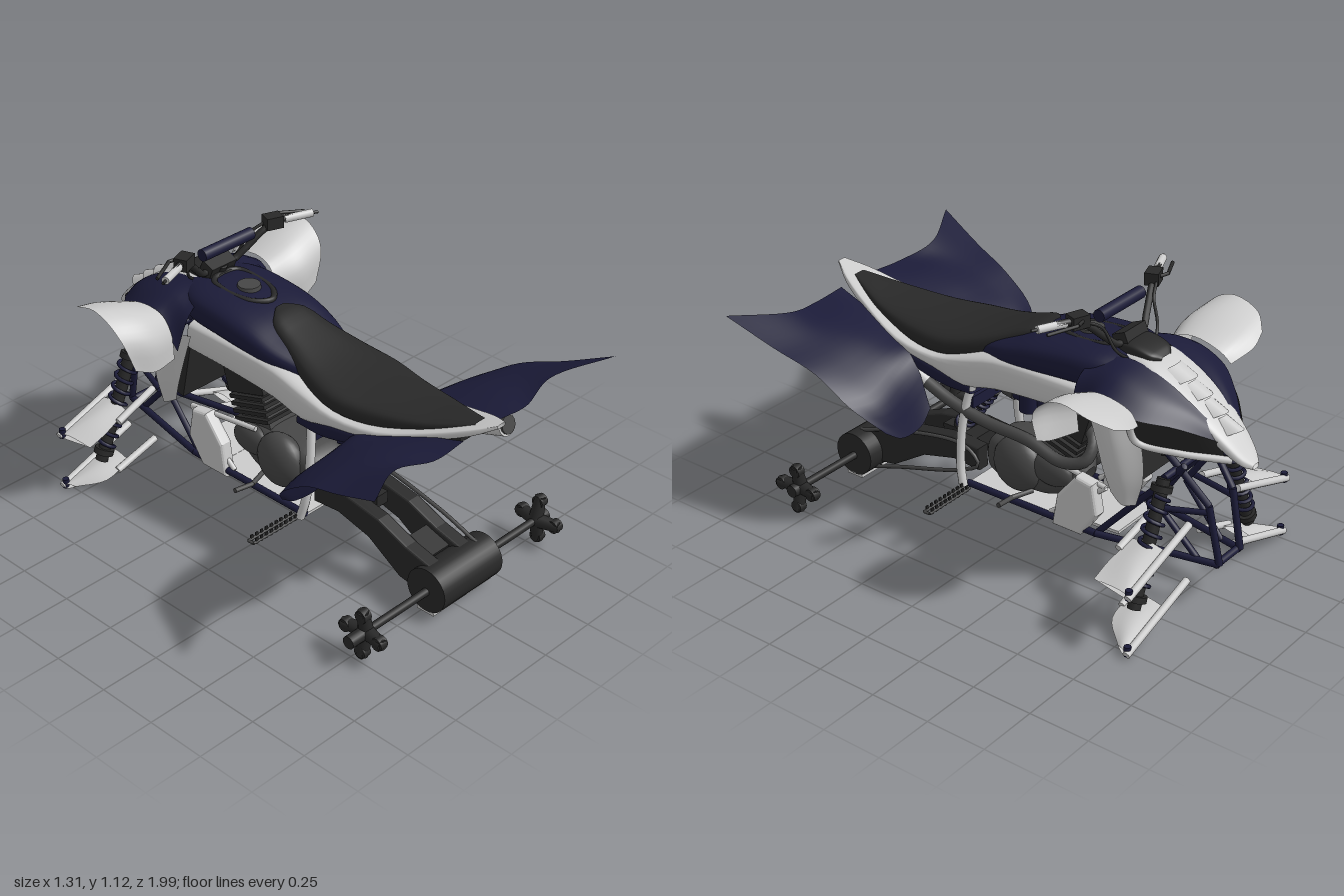
import * as THREE from 'three';

const WHITE = 0xcccccc, NAVY = 0x1b1b38, BLACK = 0x282828, STEEL = 0x464646;
const V = (p) => new THREE.Vector3(...p);

export function createModel() {
  const root = new THREE.Group();
  const mats = {};
  const mat = (color, both) => (mats[color + '_' + both] ??= new THREE.MeshStandardMaterial({
    color, side: both ? THREE.DoubleSide : THREE.FrontSide }));
  const add = (name, geo, color, both = false) => {
    const m = new THREE.Mesh(geo, mat(color, both));
    m.name = name;
    root.add(m);
    return m;
  };
  const both = (fn) => [1, -1].forEach(fn);
  const flip = (s, pts) => pts.map(([x, y, z]) => [x * s, y, z]);

  // smooth surface through a grid of control points
  const sheet = (name, rows, color, nu = 20, nv = 20) => {
    const spline = (pts, n) => {
      const c = new THREE.CatmullRomCurve3(pts);
      return Array.from({ length: n + 1 }, (_, i) => c.getPoint(i / n));
    };
    const across = rows.map((r) => spline(r.map(V), nv));
    const cols = across[0].map((_, j) => spline(across.map((r) => r[j]), nu));
    const pos = [], idx = [];
    for (let i = 0; i <= nu; i++) for (let j = 0; j <= nv; j++) pos.push(...cols[j][i].toArray());
    for (let i = 0; i < nu; i++) for (let j = 0; j < nv; j++) {
      const a = i * (nv + 1) + j, b = a + nv + 1;
      idx.push(a, b, a + 1, b, b + 1, a + 1);
    }
    const g = new THREE.BufferGeometry();
    g.setAttribute('position', new THREE.Float32BufferAttribute(pos, 3));
    g.setIndex(idx);
    g.computeVertexNormals();
    return add(name, g, color, true);
  };
  // rounded body from sections [z, half width, top, bottom]
  const hull = (name, sections, color, power = 0.7) => sheet(name, sections.map(([z, w, t, b]) =>
    Array.from({ length: 21 }, (_, i) => {
      const a = -Math.PI / 2 + (i / 20) * Math.PI * 2, c = Math.cos(a), s = Math.sin(a);
      return [w * Math.sign(c) * Math.abs(c) ** power,
        (t + b) / 2 + ((t - b) / 2) * Math.sign(s) * Math.abs(s) ** power, z];
    })), color, 24, 40);
  // straight rod or cone between two points
  const align = (m, a, b) => {
    m.position.copy(V(a)).lerp(V(b), 0.5);
    m.quaternion.setFromUnitVectors(new THREE.Vector3(0, 1, 0), V(b).sub(V(a)).normalize());
    return m;
  };
  const rod = (name, a, b, r, color, r2 = r, n = 16) =>
    align(add(name, new THREE.CylinderGeometry(r2, r, V(a).distanceTo(V(b)), n), color), a, b);
  const rods = (name, pts, r, color) => pts.slice(1).forEach((p, i) => rod(name, pts[i], p, r, color, r, 10));
  const pipe = (name, pts, r, color, closed = false) => add(name,
    new THREE.TubeGeometry(new THREE.CatmullRomCurve3(pts.map(V), closed), 48, r, 10, closed), color);
  const box = (name, [w, h, d], p, color, rx = 0) => {
    const m = add(name, new THREE.BoxGeometry(w, h, d), color);
    m.position.set(...p);
    m.rotation.x = rx;
    return m;
  };
  const ball = (name, r, p, color, s = [1, 1, 1]) => {
    const m = add(name, new THREE.SphereGeometry(r, 24, 16), color);
    m.position.set(...p);
    m.scale.set(...s);
  };
  // side plate outlined by [z, y] points, thickness t centred on x
  const plate = (name, pts, x, t, color, bevel) => {
    const g = new THREE.ExtrudeGeometry(new THREE.Shape(pts.map((p) => new THREE.Vector2(...p))),
      { depth: t, bevelSize: bevel, bevelThickness: bevel, bevelSegments: 3 });
    g.translate(0, 0, -t / 2).rotateY(-Math.PI / 2).translate(x, 0, 0);
    add(name, g, color);
  };
  const shock = (name, a, b, r, turns) => {
    const len = V(a).distanceTo(V(b)), n = turns * 10;
    const helix = Array.from({ length: n + 1 }, (_, i) => new THREE.Vector3(
      r * Math.cos(i * Math.PI / 5), (i / n - 0.5) * len * 0.75, r * Math.sin(i * Math.PI / 5)));
    align(add(name + 'Spring', new THREE.TubeGeometry(new THREE.CatmullRomCurve3(helix), turns * 14, 0.008, 6), NAVY), a, b);
    rod(name + 'Body', a, b, r * 0.7, BLACK);
    [0.06, 0.9].forEach((t) => rod(name + 'Collar', V(a).lerp(V(b), t).toArray(),
      V(a).lerp(V(b), t + 0.05).toArray(), r * 1.1, BLACK));
  };

  // seat, tail, tank
  hull('seat', [[0.89, 0.03, 0.865, 0.85], [0.8, 0.07, 0.85, 0.8], [0.68, 0.115, 0.83, 0.77], [0.5, 0.16, 0.825, 0.715],
    [0.34, 0.187, 0.835, 0.715], [0.2, 0.165, 0.86, 0.74], [0.05, 0.12, 0.905, 0.8], [-0.05, 0.09, 0.94, 0.86], [-0.1, 0.03, 0.945, 0.92]], BLACK);
  hull('sidePanels', [[0.985, 0.02, 0.895, 0.88], [0.9, 0.07, 0.865, 0.83], [0.75, 0.125, 0.81, 0.77], [0.55, 0.18, 0.75, 0.705],
    [0.35, 0.2, 0.74, 0.675], [0.2, 0.203, 0.78, 0.635], [0.05, 0.203, 0.82, 0.665], [-0.2, 0.203, 0.83, 0.685], [-0.42, 0.19, 0.82, 0.68]], WHITE, 0.4);
  hull('lowerSideTrim', [[0.6, 0.17, 0.73, 0.69], [0.45, 0.195, 0.71, 0.645], [0.3, 0.198, 0.69, 0.61], [0.17, 0.19, 0.66, 0.61]], NAVY, 0.4);
  hull('underTail', [[0.86, 0.07, 0.835, 0.79], [0.6, 0.13, 0.74, 0.68], [0.4, 0.13, 0.7, 0.62], [0.2, 0.12, 0.7, 0.64]], BLACK, 0.5);
  hull('fuelTank', [[0.15, 0.14, 0.84, 0.74], [0.02, 0.185, 0.885, 0.77], [-0.1, 0.2, 0.93, 0.78], [-0.25, 0.2, 0.957, 0.79],
    [-0.4, 0.19, 0.963, 0.8], [-0.5, 0.15, 0.95, 0.82]], NAVY, 0.7);
  rod('fuelCap', [0, 0.94, -0.27], [0, 0.97, -0.27], 0.05, STEEL, 0.045, 24);
  pipe('tankTrim', [[0, 0.945, -0.15], [0.06, 0.945, -0.2], [0.08, 0.95, -0.32], [0.06, 0.96, -0.4],
    [-0.06, 0.96, -0.4], [-0.08, 0.95, -0.32], [-0.06, 0.945, -0.2]], 0.012, BLACK, true);

  // nose with overlapping scales
  hull('nose', [[-0.42, 0.095, 0.955, 0.85], [-0.55, 0.1, 0.955, 0.88], [-0.65, 0.11, 0.915, 0.84], [-0.8, 0.1, 0.82, 0.76],
    [-0.9, 0.08, 0.74, 0.68], [-0.97, 0.05, 0.67, 0.63], [-1, 0.02, 0.64, 0.62]], WHITE, 0.6);
  for (let i = 0; i < 4; i++) {
    const z = -0.65 - i * 0.07, y = 0.925 - i * 0.048, w = 0.105 - i * 0.01;
    sheet('noseScale', [[[-w, y - 0.03, z + 0.06], [0, y + 0.01, z], [w, y - 0.03, z + 0.06]],
      [[-w, y - 0.06, z], [0, y - 0.025, z - 0.08], [w, y - 0.06, z]]], WHITE, 6, 16);
  }
  hull('instrumentPod', [[-0.4, 0.06, 0.97, 0.92], [-0.48, 0.075, 0.99, 0.93], [-0.57, 0.065, 0.97, 0.93], [-0.6, 0.03, 0.95, 0.93]], BLACK, 0.5);

  both((s) => {
    // fenders and shrouds
    sheet('rearFender', [
      [[0.1, 0.83, 0.9], [0.25, 0.82, 0.9], [0.42, 0.85, 0.87], [0.655, 0.89, 0.985]],
      [[0.12, 0.79, 0.75], [0.3, 0.8, 0.75], [0.45, 0.8, 0.75], [0.615, 0.8, 0.78]],
      [[0.17, 0.74, 0.58], [0.3, 0.745, 0.58], [0.46, 0.73, 0.58], [0.582, 0.73, 0.6]],
      [[0.19, 0.69, 0.45], [0.3, 0.66, 0.44], [0.45, 0.62, 0.42], [0.555, 0.62, 0.45]],
      [[0.2, 0.5, 0.36], [0.26, 0.45, 0.355], [0.38, 0.45, 0.35], [0.46, 0.5, 0.36]]].map((r) => flip(s, r)), NAVY);
    sheet('frontFender', [
      [[0.27, 0.69, -0.41], [0.4, 0.7, -0.38], [0.49, 0.74, -0.385]],
      [[0.28, 0.8, -0.41], [0.4, 0.83, -0.38], [0.535, 0.87, -0.4]],
      [[0.285, 0.87, -0.45], [0.41, 0.91, -0.44], [0.55, 0.94, -0.46]],
      [[0.29, 0.89, -0.53], [0.42, 0.935, -0.53], [0.552, 0.967, -0.54]],
      [[0.29, 0.86, -0.65], [0.42, 0.905, -0.66], [0.54, 0.935, -0.65]],
      [[0.3, 0.82, -0.69], [0.4, 0.86, -0.725], [0.48, 0.89, -0.71]]].map((r) => flip(s, r)), WHITE);
    sheet('noseShroud', [
      [[0.15, 0.93, -0.38], [0.23, 0.87, -0.37], [0.28, 0.74, -0.38]],
      [[0.1, 0.95, -0.5], [0.2, 0.925, -0.5], [0.29, 0.87, -0.5]],
      [[0.09, 0.91, -0.65], [0.2, 0.885, -0.65], [0.29, 0.83, -0.65]],
      [[0.08, 0.835, -0.78], [0.13, 0.825, -0.78], [0.19, 0.79, -0.78]],
      [[0.05, 0.74, -0.89], [0.06, 0.735, -0.89], [0.075, 0.72, -0.89]]].map((r) => flip(s, r)), NAVY);
    sheet('headlightPanel', [[[0.27, 0.82, -0.62], [0.22, 0.7, -0.62]], [[0.19, 0.79, -0.78], [0.15, 0.67, -0.76]],
      [[0.07, 0.72, -0.9], [0.06, 0.665, -0.9]]].map((r) => flip(s, r)), BLACK);
    pipe('headlightTrim', flip(s, [[0.28, 0.82, -0.63], [0.22, 0.7, -0.63], [0.15, 0.67, -0.77], [0.05, 0.65, -0.93]]), 0.014, WHITE);
    sheet('radiatorShroud', [
      [[0.2, 0.77, -0.39], [0.245, 0.77, -0.5], [0.2, 0.76, -0.61]],
      [[0.2, 0.65, -0.43], [0.245, 0.65, -0.53], [0.19, 0.65, -0.635]],
      [[0.2, 0.52, -0.47], [0.23, 0.52, -0.55], [0.18, 0.52, -0.635]],
      [[0.19, 0.43, -0.5], [0.2, 0.4, -0.56], [0.17, 0.4, -0.6]]].map((r) => flip(s, r)), WHITE);
    plate('sideTank', [[-0.24, 0.2], [-0.35, 0.2], [-0.42, 0.3], [-0.4, 0.41], [-0.34, 0.42], [-0.26, 0.32]], s * 0.16, 0.03, WHITE, 0.015);

    // frame tubes
    rods('frontFrame', flip(s, [[0.17, 0.21, 0.2], [0.17, 0.21, -0.42], [0.07, 0.21, -0.91], [0.08, 0.45, -0.86], [0.13, 0.68, -0.66]]), 0.014, NAVY);
    rods('frameBrace', flip(s, [[0.15, 0.21, -0.42], [0.13, 0.61, -0.78], [0.1, 0.4, -0.64], [0.08, 0.21, -0.82]]), 0.013, NAVY);
    rods('crossBrace', flip(s, [[0.15, 0.4, -0.64], [0.08, 0.42, -0.86]]), 0.012, NAVY);
    pipe('rearFrame', flip(s, [[0.1, 0.69, 0.12], [0.13, 0.66, 0.18], [0.165, 0.5, 0.22], [0.19, 0.3, 0.22], [0.2, 0.21, 0.2]]), 0.018, WHITE);
    rods('downTube', flip(s, [[0.12, 0.43, -0.12], [0.15, 0.41, -0.45], [0.16, 0.22, -0.2]]), 0.011, WHITE);

    // front suspension: [outer y, inner y, rear edge z at mid, rear edge z near tip]
    [[0.03, 0.16, -0.68, -0.77], [0.27, 0.4, -0.66, -0.66]].forEach(([yo, yi, zm, zt]) => {
      const y = (x) => yi + (yo - yi) * (x - 0.16) / 0.375;
      rods('controlArm', flip(s, [[0.16, yi, -0.83], [0.535, yo, -0.825]]), 0.015, WHITE);
      rods('controlArmRear', flip(s, [[0.16, yi, -0.67], [0.36, y(0.36), zm]]), 0.015, WHITE);
      both((t) => sheet('controlArmPlate', [
        [[0.3, y(0.3), -0.83], [0.42, y(0.42), -0.83], [0.535, yo, -0.83]],
        [[0.3, y(0.3) + t * 0.015, -0.75], [0.42, y(0.42) + t * 0.018, -0.76], [0.525, y(0.525) + t * 0.01, -0.8]],
        [[0.3, y(0.3), -0.68], [0.42, y(0.42), zm], [0.51, y(0.51), zt]]].map((r) => flip(s, r)), WHITE, 10, 10));
      rods('ballJoint', flip(s, [[0.52, yo - 0.01, -0.82], [0.52, yo + 0.03, -0.82]]), 0.014, NAVY);
    });
    shock('frontShock', [s * 0.385, 0.12, -0.75], [s * 0.2, 0.58, -0.74], 0.037, 8);

    // foot pegs and controls
    rods('footPeg', flip(s, [[0.2, 0.21, 0.167], [0.445, 0.21, 0.167], [0.445, 0.21, 0.193], [0.2, 0.21, 0.193]]), 0.006, STEEL);
    for (let i = 0; i < 9; i++) [0.167, 0.193].forEach((z) => box('pegTooth', [0.012, 0.026, 0.006], [s * (0.22 + i * 0.026), 0.215, z], BLACK));
    rods('footLever', flip(s, [[0.12, 0.25, -0.08], [0.21, 0.25, -0.05], [0.3, 0.26, -0.055]]), 0.01, STEEL);

    // handlebar
    pipe('handlebar', flip(s, [[0, 0.98, -0.44], [0.08, 0.98, -0.44], [0.13, 1.02, -0.42], [0.2, 1.085, -0.39], [0.26, 1.115, -0.365], [0.32, 1.118, -0.34]]), 0.014, BLACK);
    rods('grip', flip(s, [[0.28, 1.115, -0.355], [0.39, 1.118, -0.31]]), 0.016, WHITE);
    rods('gripEnd', flip(s, [[0.39, 1.118, -0.31], [0.41, 1.118, -0.3]]), 0.006, BLACK);
    rods('lever', flip(s, [[0.24, 1.12, -0.4], [0.28, 1.12, -0.41], [0.39, 1.11, -0.355]]), 0.007, BLACK);
    box('switchGear', [0.07, 0.05, 0.055], [s * 0.235, 1.115, -0.375], BLACK).rotation.y = s * -0.35;
    pipe('cable', flip(s, [[0.22, 1.11, -0.4], [0.16, 1.07, -0.43], [0.13, 0.98, -0.47], [0.06, 0.92, -0.5]]), 0.006, BLACK);

    // swingarm beams
    plate('swingarmBeam', [[0.2, 0.25], [0.2, 0.33], [0.32, 0.34], [0.52, 0.305], [0.66, 0.25], [0.78, 0.22], [0.76, 0.1], [0.64, 0.12], [0.48, 0.22], [0.32, 0.26]],
      s * 0.085, 0.045, BLACK, 0.01);

    // rear hub with four lobes
    const hx = s > 0 ? 0.525 : -0.485;
    for (let i = 0; i < 4; i++) {
      const dy = Math.cos(Math.PI / 2 * i), dz = Math.sin(Math.PI / 2 * i);
      rod('hubLobe', [hx - s * 0.02, 0.135, 0.79], [hx, 0.135 + dy * 0.1, 0.79 + dz * 0.1], 0.03, BLACK, 0.022);
      rod('hubBoss', [hx - s * 0.02, 0.135 + dy * 0.08, 0.79 + dz * 0.08], [hx + s * 0.015, 0.135 + dy * 0.08, 0.79 + dz * 0.08], 0.026, BLACK);
    }
    rod('axleEnd', [hx - s * 0.03, 0.135, 0.79], [s * 0.56, 0.135, 0.79], 0.026, BLACK);

    // engine side covers
    ball('clutchCover', 0.115, [s * 0.1, 0.335, 0], STEEL, [0.6, 1, 1]);
    ball('generatorCover', 0.08, [s * 0.1, 0.36, -0.16], STEEL, [0.5, 0.8, 1.2]);
  });

  rod('crossbarPad', [-0.13, 1.095, -0.39], [0.13, 1.095, -0.39], 0.025, NAVY);
  rod('steeringStem', [0, 1, -0.42], [0, 0.55, -0.62], 0.025, BLACK);
  box('barClamp', [0.13, 0.05, 0.06], [0, 0.99, -0.44], BLACK, 0.4);
  rod('frontCrossTube', [-0.08, 0.21, -0.9], [0.08, 0.21, -0.9], 0.014, NAVY);
  rod('shockCrossTube', [-0.2, 0.58, -0.74], [0.2, 0.58, -0.74], 0.014, NAVY);
  box('radiator', [0.3, 0.26, 0.05], [0, 0.56, -0.5], BLACK, 0.2);
  box('rearCrossPanel', [0.3, 0.05, 0.03], [0, 0.56, 0.2], NAVY);
  box('skidPlate', [0.32, 0.012, 0.5], [0, 0.205, -0.05], WHITE);
  box('skidPlateFront', [0.24, 0.012, 0.2], [0, 0.21, -0.39], WHITE, 0.04);

  // rear axle and swingarm middle
  rod('axle', [-0.5, 0.135, 0.79], [0.53, 0.135, 0.79], 0.016, BLACK);
  rod('axleCarrier', [-0.14, 0.14, 0.79], [0.19, 0.14, 0.79], 0.092, BLACK, 0.092, 28);
  box('carrierGuard', [0.33, 0.014, 0.08], [0.025, 0.048, 0.79], WHITE);
  box('swingarmBridge', [0.19, 0.08, 0.08], [0, 0.3, 0.28], BLACK, 0.1);
  box('swingarmBridgeRear', [0.19, 0.1, 0.12], [0, 0.19, 0.66], BLACK, 0.3);
  box('shockMount', [0.06, 0.05, 0.08], [0, 0.31, 0.4], BLACK);
  shock('rearShock', [0, 0.32, 0.38], [0, 0.57, 0.2], 0.033, 7);
  pipe('chain', [[0.13, 0.225, 0.8], [0.13, 0.29, 0.6], [0.13, 0.34, 0.25], [0.13, 0.28, 0.18],
    [0.13, 0.22, 0.28], [0.13, 0.12, 0.6], [0.13, 0.06, 0.78]], 0.008, STEEL);

  // engine
  hull('crankcase', [[0.19, 0.05, 0.34, 0.28], [0.15, 0.1, 0.4, 0.24], [0, 0.12, 0.43, 0.22], [-0.15, 0.11, 0.43, 0.23],
    [-0.24, 0.08, 0.4, 0.29], [-0.27, 0.03, 0.36, 0.32]], STEEL, 0.6);
  box('engineCylinder', [0.16, 0.2, 0.15], [0, 0.47, -0.17], STEEL, -0.3);
  for (let i = 0; i < 4; i++) box('coolingFin', [0.2, 0.016, 0.19], [0, 0.44 + i * 0.03, -0.165 - i * 0.01], BLACK, -0.3);
  box('cylinderHead', [0.19, 0.12, 0.2], [0, 0.605, -0.215], BLACK, -0.3);
  rod('carburetor', [0.02, 0.6, -0.1], [0.02, 0.61, 0.06], 0.045, NAVY);
  rod('carburetorBowl', [0.06, 0.56, -0.02], [0.06, 0.66, -0.02], 0.04, NAVY);
  rod('intakeFilter', [0.02, 0.61, 0.06], [0.02, 0.62, 0.11], 0.05, STEEL);
  ball('airBox', 0.075, [0, 0.63, 0.24], WHITE, [1, 0.8, 0.8]);

  // exhaust
  pipe('exhaustPipe', [[0.04, 0.58, -0.27], [0.08, 0.55, -0.34], [0.13, 0.48, -0.34], [0.15, 0.45, -0.25],
    [0.15, 0.49, -0.08], [0.15, 0.5, 0.12], [0.16, 0.54, 0.28], [0.17, 0.61, 0.44]], 0.025, STEEL);
  rod('mufflerCone', [0.165, 0.59, 0.4], [0.175, 0.635, 0.5], 0.028, WHITE, 0.045);
  rod('muffler', [0.175, 0.635, 0.5], [0.19, 0.75, 0.86], 0.045, WHITE, 0.045, 24);
  rod('mufflerOutlet', [0.19, 0.748, 0.855], [0.19, 0.753, 0.87], 0.036, STEEL, 0.036, 24);
  return root;
}
